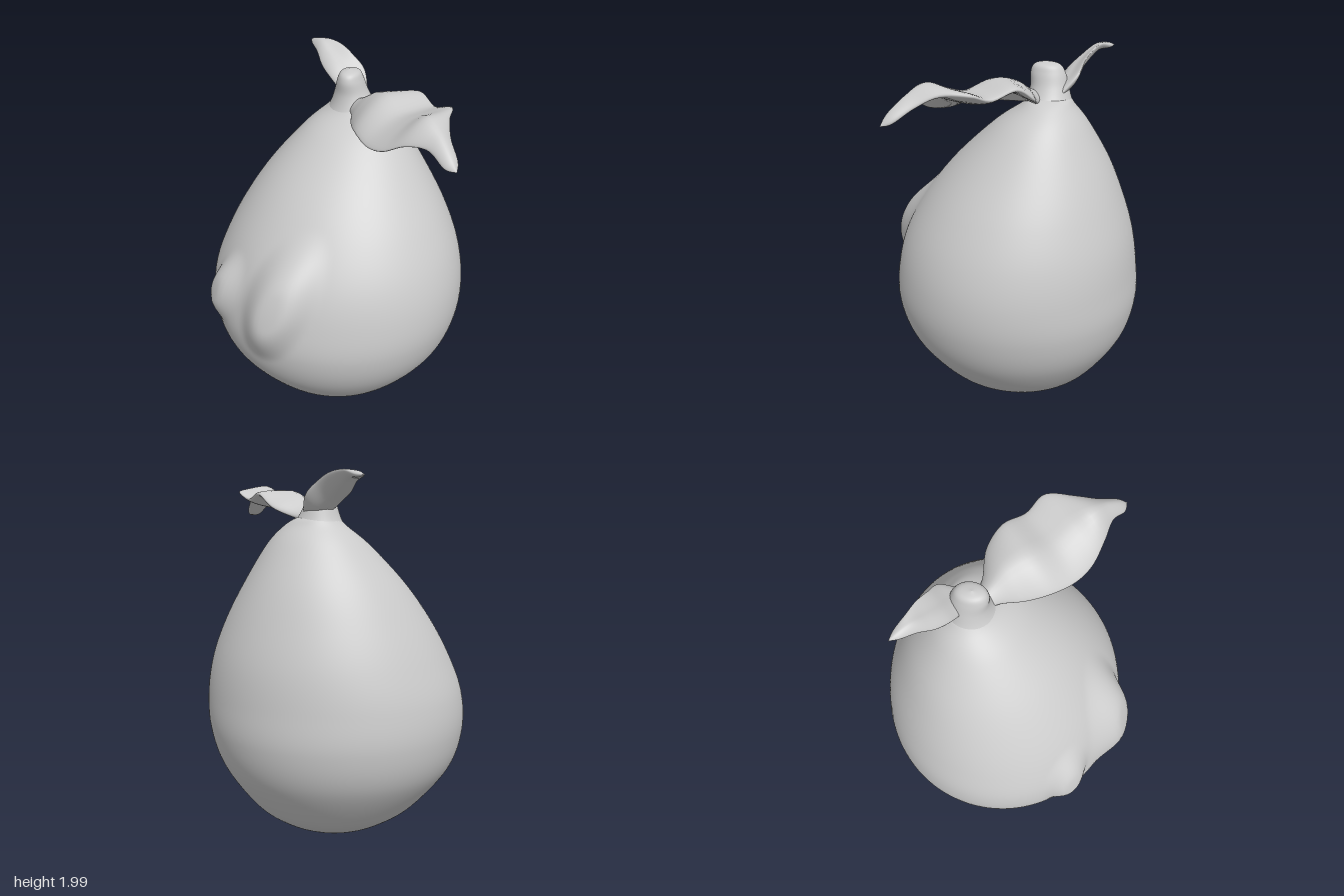
import * as THREE from 'three';

const material = new THREE.MeshStandardMaterial({ color: 0xcccccc, side: THREE.DoubleSide });

// Lofts smooth rings between rows of section values; place(values, angle) returns a point.
function loft(name, rows, rings, sides, place) {
  const width = rows[0].length;
  const curve = new THREE.CubicInterpolant(rows.map((_, i) => i), rows.flat(), width, new Float32Array(width));
  const positions = [], index = [];
  for (let i = 0; i <= rings; i++) {
    const values = curve.evaluate((i / rings) * (rows.length - 1));
    for (let j = 0; j < sides; j++) {
      positions.push(...place(values, (j / sides) * Math.PI * 2));
      if (i === rings) continue;
      const a = i * sides + j, c = i * sides + (j + 1) % sides;
      index.push(a, a + sides, c, a + sides, c + sides, c);
    }
  }
  const geometry = new THREE.BufferGeometry();
  geometry.setAttribute('position', new THREE.Float32BufferAttribute(positions, 3));
  geometry.setIndex(index);
  geometry.computeVertexNormals();
  const mesh = new THREE.Mesh(geometry, material);
  mesh.name = name;
  return mesh;
}

// Ring from extents: y, left x, right x, back z, front z
const oval = ([y, x0, x1, z0, z1], a) => [
  (x0 + x1) / 2 + (x1 - x0) / 2 * Math.cos(a), y,
  (z0 + z1) / 2 + (z1 - z0) / 2 * Math.sin(a),
];

// Soft raised swellings on the skin: centre, horizontal normal, half sizes, lean, height
const swellings = [
  { c: [-0.12, 0.9, 0.6], n: [-0.1, 0.995], w: 0.2, h: 0.35, lean: 0.28, rise: 0.085 },
  { c: [-0.53, 0.82, 0.46], n: [-0.75, 0.66], w: 0.14, h: 0.22, lean: 0.15, rise: 0.055 },
];

function skin(values, a) {
  const p = oval(values, a);
  let dx = 0, dz = 0;
  for (const { c, n, w, h, lean, rise } of swellings) {
    const x = p[0] - c[0], y = p[1] - c[1], z = p[2] - c[2];
    if (x * n[0] + z * n[1] < -0.4) continue;
    const u = x * n[1] - z * n[0] - y * lean;
    const lift = rise * (1 - THREE.MathUtils.smoothstep(Math.hypot(u / w, y / h), 0.3, 1.1));
    dx += n[0] * lift;
    dz += n[1] * lift;
  }
  return [p[0] + dx, p[1], p[2] + dz];
}

// Leaf rows: distance along, near edge, far edge, heights of near edge, rib, far edge, half thickness
function leaf(name, origin, dir, rows) {
  return loft(name, rows, 48, 32, ([t, w0, w1, y0, yMid, y1, thick], a) => {
    const s = Math.cos(a);
    const w = (w0 + w1) / 2 + (w1 - w0) / 2 * s;
    const edge = s < 0 ? y0 : y1;
    const y = yMid + (edge - yMid) * Math.abs(s) ** 1.5 - thick * Math.sin(a);
    return [origin[0] + dir[0] * t + dir[1] * w, y, origin[1] + dir[1] * t - dir[0] * w];
  });
}

export function createModel() {
  const group = new THREE.Group();
  group.name = 'pearShapedFruit';

  // Plump body leaning back towards its narrow top
  group.add(loft('body', [
    [0, -0.03, -0.03, -0.06, -0.06],
    [0.03, -0.23, 0.18, -0.27, 0.15],
    [0.1, -0.38, 0.34, -0.42, 0.31],
    [0.2, -0.51, 0.47, -0.53, 0.44],
    [0.4, -0.67, 0.62, -0.66, 0.59],
    [0.6, -0.73, 0.69, -0.71, 0.65],
    [0.8, -0.72, 0.7, -0.7, 0.635],
    [1.0, -0.65, 0.66, -0.67, 0.575],
    [1.2, -0.55, 0.575, -0.61, 0.46],
    [1.4, -0.42, 0.455, -0.53, 0.3],
    [1.6, -0.25, 0.315, -0.42, 0.09],
    [1.7, -0.14, 0.21, -0.345, -0.05],
    [1.75, -0.08, 0.12, -0.3, -0.11],
    [1.77, 0.01, 0.01, -0.2, -0.2],
  ], 140, 160, skin));

  // Short stem flaring into the body
  group.add(loft('stem', [
    [1.66, -0.15, 0.22, -0.35, -0.04],
    [1.73, -0.11, 0.14, -0.32, -0.08],
    [1.8, -0.085, 0.095, -0.3, -0.1],
    [1.87, -0.065, 0.07, -0.28, -0.1],
    [1.91, -0.045, 0.05, -0.25, -0.12],
    [1.925, 0, 0, -0.18, -0.18],
  ], 30, 40, oval));

  // Large wavy leaf reaching forward to the left
  group.add(leaf('largeLeaf', [0.06, -0.13], [0.755, 0.656], [
    [-0.06, -0.03, 0.03, 1.73, 1.74, 1.74, 0.02],
    [0.04, -0.06, 0.09, 1.73, 1.77, 1.75, 0.035],
    [0.14, -0.12, 0.19, 1.73, 1.83, 1.8, 0.035],
    [0.26, -0.17, 0.22, 1.74, 1.86, 1.87, 0.03],
    [0.4, -0.185, 0.215, 1.72, 1.82, 1.84, 0.03],
    [0.52, -0.17, 0.225, 1.74, 1.85, 1.88, 0.03],
    [0.63, -0.12, 0.13, 1.8, 1.89, 1.88, 0.03],
    [0.73, -0.06, 0.07, 1.81, 1.85, 1.83, 0.028],
    [0.83, -0.04, 0.04, 1.76, 1.78, 1.77, 0.025],
    [0.88, 0, 0, 1.745, 1.745, 1.745, 0],
  ]));

  // Small leaf curling up behind the stem
  group.add(leaf('smallLeaf', [0.02, -0.22], [-0.8, -0.6], [
    [-0.02, -0.07, 0.03, 1.76, 1.76, 1.76, 0.02],
    [0.07, -0.11, 0.05, 1.86, 1.81, 1.79, 0.035],
    [0.15, -0.085, 0.067, 1.93, 1.87, 1.84, 0.03],
    [0.23, -0.065, 0.065, 1.97, 1.92, 1.88, 0.025],
    [0.31, -0.04, 0.045, 1.98, 1.96, 1.93, 0.02],
    [0.39, -0.025, 0.025, 1.96, 1.96, 1.95, 0.015],
    [0.44, 0, 0, 1.955, 1.955, 1.955, 0],
  ]));

  return group;
}
